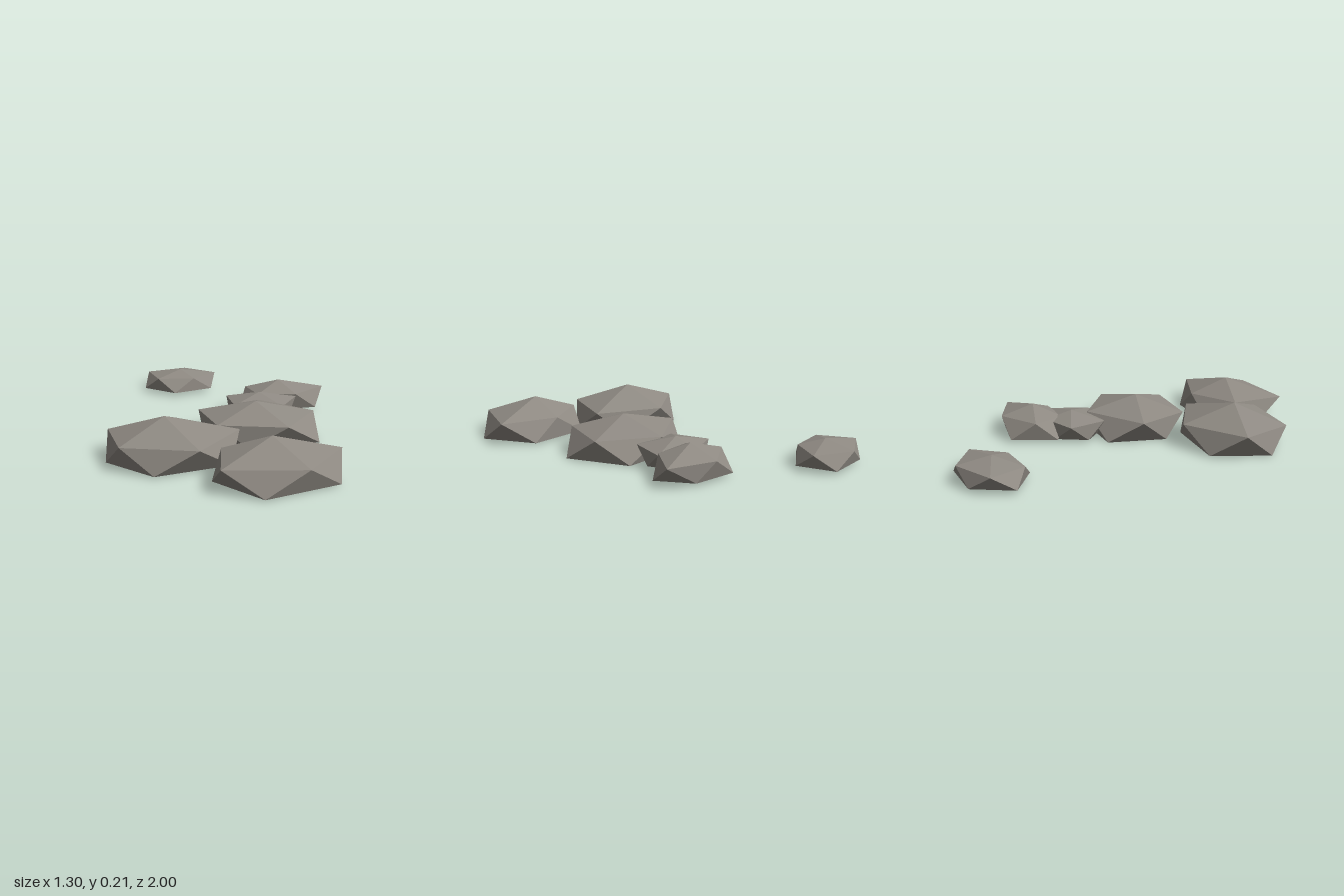
import * as THREE from 'three';

const stone = new THREE.MeshStandardMaterial({ color: 0x8f8a83 });
stone.name = 'warm grey stone';

// Each slab: a peak, a shoulder ring and a footprint ring of five [x, z] points,
// both counter-clockwise from above; the footprint sits between shoulder points.
const ROCKS = [
  {
    name: 'leftRock', peak: [-0.38, 0.21, 0.39], shoulderY: 0.12, baseY: 0.005,
    shoulder: [[-0.02, 0.39], [-0.28, 0.135], [-0.625, 0.24], [-0.61, 0.53], [-0.27, 0.66]],
    foot: [[-0.11, 0.27], [-0.47, 0.14], [-0.655, 0.385], [-0.47, 0.625], [-0.1, 0.56]],
  },
  {
    name: 'middleRock', peak: [0.125, 0.183, 0.155], shoulderY: 0.113, baseY: 0,
    shoulder: [[0.43, 0.155], [0.215, -0.1], [-0.135, 0], [-0.105, 0.29], [0.22, 0.405]],
    foot: [[0.385, -0.01], [0.01, -0.12], [-0.135, 0.15], [0.04, 0.35], [0.405, 0.33]],
  },
  {
    name: 'frontRock', peak: [0.035, 0.195, 0.74], shoulderY: 0.115, baseY: 0.005,
    shoulder: [[0.36, 0.74], [0.115, 0.555], [-0.165, 0.62], [-0.235, 0.9], [0.13, 0.985]],
    foot: [[0.26, 0.6], [-0.06, 0.51], [-0.235, 0.735], [-0.07, 0.995], [0.3, 0.9]],
  },
  {
    name: 'smallRock', peak: [0.24, 0.133, -0.185], shoulderY: 0.093, baseY: 0.01,
    shoulder: [[0.45, -0.19], [0.29, -0.31], [0.085, -0.295], [0.08, -0.09], [0.32, -0.015]],
    foot: [[0.38, -0.27], [0.2, -0.315], [0.08, -0.19], [0.18, -0.03], [0.38, -0.1]],
  },
  {
    name: 'rightRock', peak: [0.39, 0.158, -0.325], shoulderY: 0.105, baseY: 0.015,
    shoulder: [[0.65, -0.325], [0.45, -0.48], [0.225, -0.415], [0.25, -0.235], [0.45, -0.19]],
    foot: [[0.53, -0.415], [0.315, -0.51], [0.165, -0.32], [0.32, -0.215], [0.575, -0.22]],
  },
  {
    name: 'backRock', peak: [-0.065, 0.122, -0.84], shoulderY: 0.09, baseY: 0.017,
    shoulder: [[0.145, -0.84], [-0.01, -0.995], [-0.24, -0.95], [-0.215, -0.755], [-0.01, -0.72]],
    foot: [[0.11, -0.945], [-0.13, -1], [-0.28, -0.84], [-0.13, -0.68], [0.1, -0.745]],
  },
];

// Faceted flat-bottomed rock
function makeRock({ name, peak, shoulder, foot, shoulderY, baseY }) {
  const up = shoulder.map(([x, z]) => [x, shoulderY, z]);
  const low = foot.map(([x, z]) => [x, baseY, z]);
  const corners = [];
  for (let i = 0; i < 5; i++) {
    const j = (i + 1) % 5;
    corners.push(peak, up[i], up[j]);          // crown
    corners.push(low[i], up[j], up[i]);        // sides
    corners.push(low[i], low[j], up[j]);
    if (i > 0 && i < 4) corners.push(low[0], low[j], low[i]); // underside
  }
  const geometry = new THREE.BufferGeometry();
  geometry.setAttribute('position', new THREE.Float32BufferAttribute(corners.flat(), 3));
  geometry.computeVertexNormals(); // unshared corners give flat facets
  const mesh = new THREE.Mesh(geometry, stone);
  mesh.name = name;
  return mesh;
}

export function createModel() {
  const group = new THREE.Group();
  group.name = 'steppingStones';
  for (const rock of ROCKS) group.add(makeRock(rock));
  return group;
}
